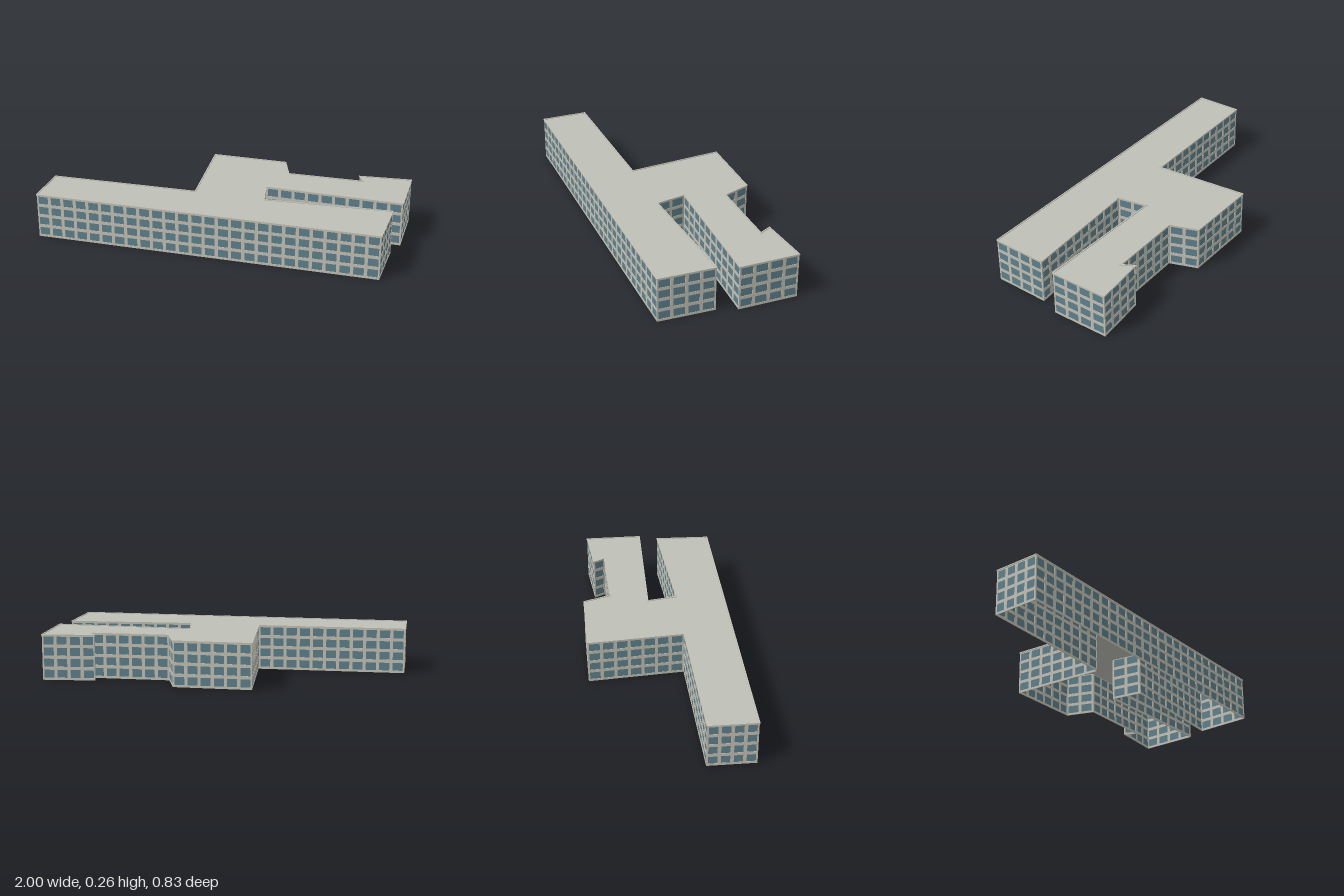
import * as THREE from 'three';

// Wall corners (x, z), starting at the front and running anticlockwise from above
const CORNERS = [
  [-0.997, 0.414], [0.947, 0.4], [0.957, 0.082], [0.245, 0.128], [0.215, -0.042],
  [0.996, -0.028], [0.996, -0.361], [0.7, -0.333], [0.735, -0.267], [0.295, -0.258],
  [0.24, -0.414], [-0.197, -0.414], [-0.155, 0.128], [-0.997, 0.148],
];
const WALL_TOP = 0.252, TOP = 0.26, THICK = 0.004;
const FLOORS = 4, SILL = 0.013, FLOOR_H = 0.063, WIN_H = 0.045;
const BAY = 0.075, PIER = 0.018;

const wallMat = new THREE.MeshStandardMaterial({ name: 'concrete', color: 0xc2c0b4 });
const roofMat = new THREE.MeshStandardMaterial({ name: 'roofing', color: 0xbebfb7 });
const glassMat = new THREE.MeshStandardMaterial({ name: 'glass', color: 0x5e7f8b, side: THREE.DoubleSide });

// Outline pushed outwards by d with mitred corners, as (x, -z) points
function outline(d) {
  const n = CORNERS.length;
  const normal = (i) => {
    const a = CORNERS[(i + n) % n], b = CORNERS[(i + 1) % n];
    const v = new THREE.Vector2(b[0] - a[0], b[1] - a[1]).normalize();
    return new THREE.Vector2(-v.y, v.x);
  };
  return CORNERS.map(([x, z], i) => {
    const p = normal(i - 1), q = normal(i);
    const m = p.clone().add(q).multiplyScalar(d / (1 + p.dot(q)));
    return new THREE.Vector2(x + m.x, -(z + m.y));
  });
}

// Flat slab from a plan shape
function slab(shape, y, height, material, name) {
  const geo = new THREE.ExtrudeGeometry(shape, { depth: height, bevelEnabled: false });
  geo.rotateX(-Math.PI / 2);
  const mesh = new THREE.Mesh(geo, material);
  mesh.position.y = y;
  mesh.name = name;
  return mesh;
}

// One facade: a thin wall pierced by a window grid, with panes set inside it
function facade([ax, az], [bx, bz]) {
  const g = new THREE.Group();
  g.name = 'facade';
  const len = Math.hypot(bx - ax, bz - az);
  const bays = Math.max(1, Math.round(len / BAY));
  const pitch = len / bays, w = pitch - PIER;

  const wall = new THREE.Shape();
  wall.moveTo(0, 0).lineTo(len, 0).lineTo(len, WALL_TOP).lineTo(0, WALL_TOP).closePath();
  const panes = [];
  for (let f = 0; f < FLOORS; f++) {
    const y = SILL + f * FLOOR_H;
    for (let i = 0; i < bays; i++) {
      const x = i * pitch + PIER / 2;
      const hole = new THREE.Path();
      hole.moveTo(x, y).lineTo(x, y + WIN_H).lineTo(x + w, y + WIN_H).lineTo(x + w, y).closePath();
      wall.holes.push(hole);
      const pane = new THREE.Shape();
      pane.moveTo(x, y).lineTo(x + w, y).lineTo(x + w, y + WIN_H).lineTo(x, y + WIN_H).closePath();
      panes.push(pane);
    }
  }
  const wallMesh = new THREE.Mesh(
    new THREE.ExtrudeGeometry(wall, { depth: THICK, bevelEnabled: false }), wallMat);
  wallMesh.position.z = -THICK;
  wallMesh.name = 'wall';
  const glass = new THREE.Mesh(new THREE.ShapeGeometry(panes), glassMat);
  glass.position.z = -THICK / 2;
  glass.name = 'windows';
  g.add(wallMesh, glass);
  g.position.set(ax, 0, az);
  g.rotation.y = Math.atan2(-(bz - az), bx - ax);
  return g;
}

export function createModel() {
  const model = new THREE.Group();
  model.name = 'building';

  // Walls and windows, open underneath
  CORNERS.forEach((c, i) => model.add(facade(c, CORNERS[(i + 1) % CORNERS.length])));

  // Roof deck
  model.add(slab(new THREE.Shape(outline(0)), WALL_TOP, 0.004, roofMat, 'roof'));

  // Slightly overhanging coping around the roof edge
  const ring = new THREE.Shape(outline(0.003));
  ring.holes.push(new THREE.Path(outline(-0.004)));
  model.add(slab(ring, WALL_TOP + 0.001, TOP - WALL_TOP - 0.001, wallMat, 'coping'));

  return model;
}
